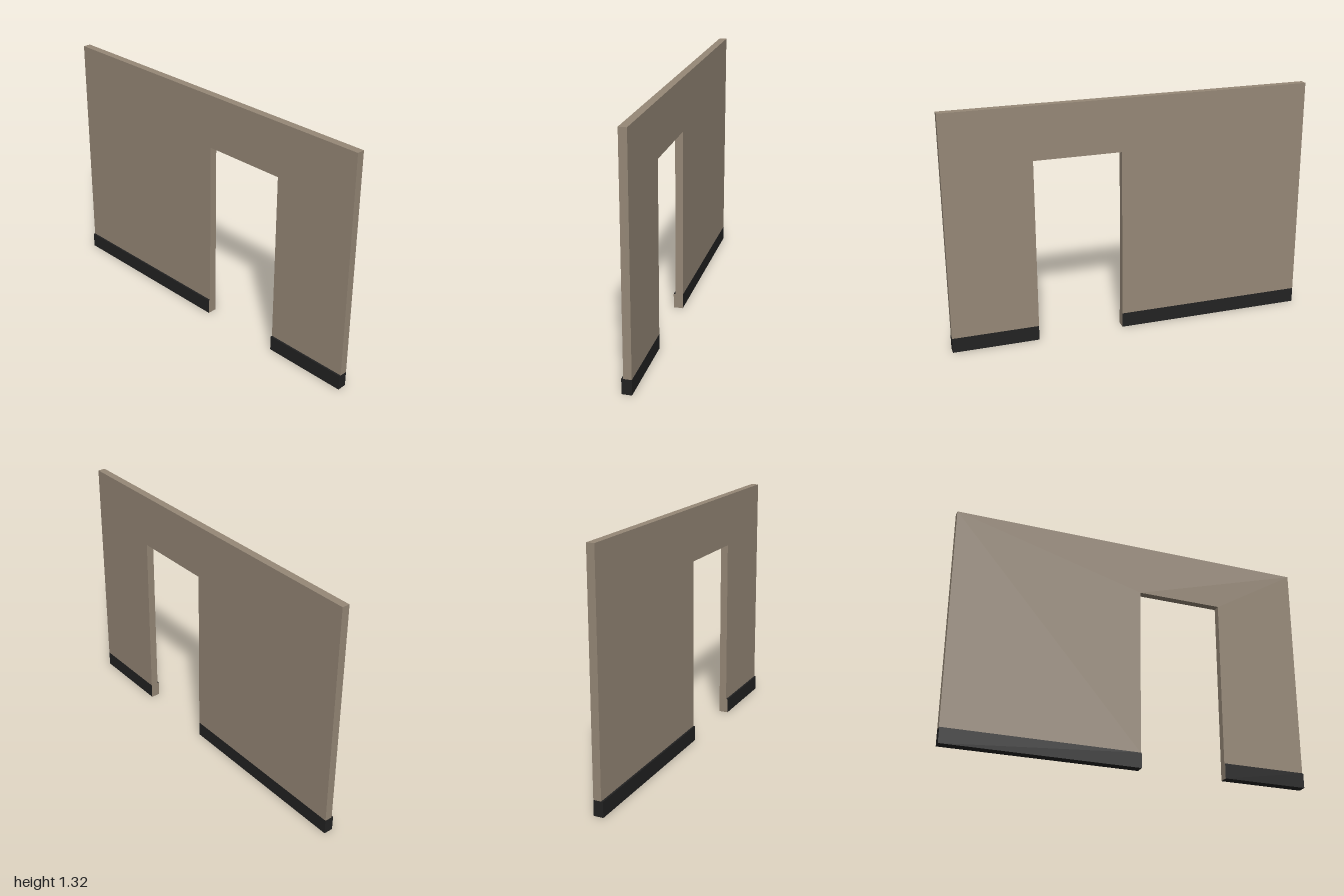
import * as THREE from 'three';

export function createModel() {
  const group = new THREE.Group();
  const plaster = new THREE.MeshStandardMaterial({ color: 0x968877 });
  plaster.name = 'taupe plaster';
  const black = new THREE.MeshStandardMaterial({ color: 0x222222 });
  black.name = 'black skirting';

  const height = 1.315, baseTop = 0.083;
  const doorLeft = 0.05, doorRight = 0.527, doorTop = 1.025;
  const back = -0.026, wallFront = 0.016, baseFront = 0.026;

  // Wall panel above the skirting, with the doorway cut out
  const outline = new THREE.Shape([
    [-1, baseTop], [doorLeft, baseTop], [doorLeft, doorTop], [doorRight, doorTop],
    [doorRight, baseTop], [1, baseTop], [1, height], [-1, height],
  ].map(([x, y]) => new THREE.Vector2(x, y)));
  const wall = new THREE.Mesh(
    new THREE.ExtrudeGeometry(outline, { depth: wallFront - back, bevelEnabled: false }), plaster);
  wall.name = 'wall';
  wall.position.z = back;
  group.add(wall);

  // Skirting on each side of the doorway; the end facing the opening is plaster
  function addSkirting(name, x0, x1, doorFace) {
    const materials = Array(6).fill(black);
    materials[doorFace] = plaster;
    const mesh = new THREE.Mesh(
      new THREE.BoxGeometry(x1 - x0, baseTop, baseFront - back), materials);
    mesh.name = name;
    mesh.position.set((x0 + x1) / 2, baseTop / 2, (back + baseFront) / 2);
    group.add(mesh);
  }
  addSkirting('rightSkirting', -1, doorLeft, 0);
  addSkirting('leftSkirting', doorRight, 1, 1);

  return group;
}
